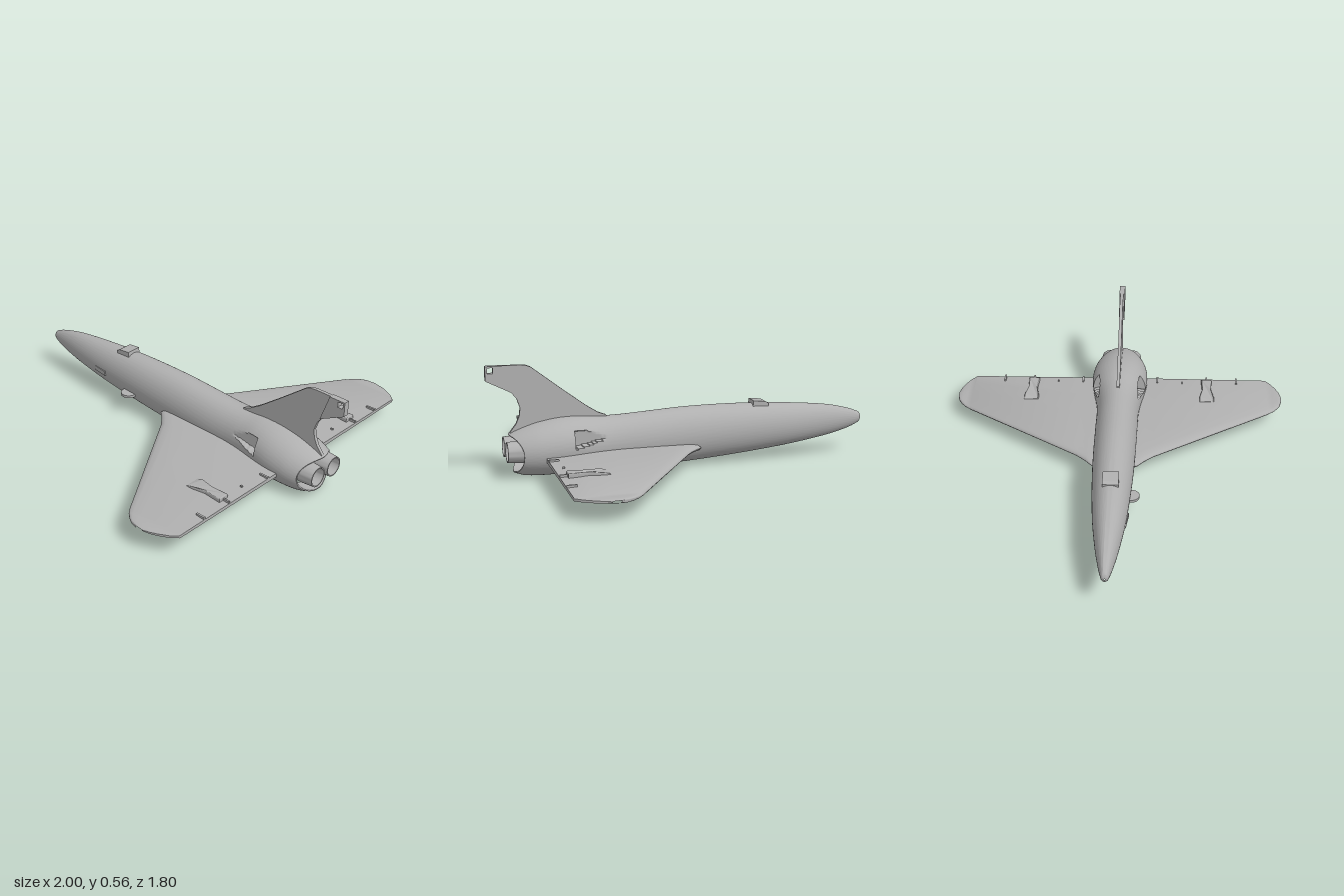
import * as THREE from 'three';
import { toCreasedNormals } from 'three/addons/utils/BufferGeometryUtils.js';

const grey = new THREE.MeshStandardMaterial({ color: 0xb0b0b0 });
grey.name = 'plain grey';

// Linear lookup in rows of [key, value, value...]
function lookup(rows, k) {
  let i = 1;
  while (i < rows.length - 1 && rows[i][0] < k) i++;
  const a = rows[i - 1], b = rows[i];
  const t = THREE.MathUtils.clamp((k - a[0]) / (b[0] - a[0]), 0, 1);
  return a.slice(1).map((v, n) => v + (b[n + 1] - v) * t);
}

// Closed rings of [x, y, z] joined into a skin, both ends capped
function loft(rings, crease = 0.6) {
  const n = rings[0].length, pos = rings.flat(2), idx = [];
  for (let i = 0; i < rings.length - 1; i++) for (let j = 0; j < n; j++) {
    const a = i * n + j, c = i * n + (j + 1) % n, b = a + n, d = c + n;
    idx.push(a, b, c, b, d, c);
  }
  [0, rings.length - 1].forEach((r, end) => {
    const mid = [0, 1, 2].map(k => rings[r].reduce((s, p) => s + p[k], 0) / n);
    const m = pos.length / 3;
    pos.push(...mid);
    for (let j = 0; j < n; j++) {
      const a = r * n + j, b = r * n + (j + 1) % n;
      end ? idx.push(m, a, b) : idx.push(m, b, a);
    }
  });
  const g = new THREE.BufferGeometry();
  g.setAttribute('position', new THREE.Float32BufferAttribute(pos, 3));
  g.setIndex(idx);
  return toCreasedNormals(g, crease);
}

// x, top, bottom, half width of the fuselage
const BODY = [
  [-1, 0.19, 0.184, 0.003], [-0.992, 0.21, 0.165, 0.016], [-0.97, 0.222, 0.15, 0.023],
  [-0.92, 0.24, 0.13, 0.034], [-0.8, 0.266, 0.1, 0.055], [-0.6, 0.286, 0.068, 0.08],
  [-0.4, 0.298, 0.045, 0.095], [-0.2, 0.302, 0.027, 0.105], [0, 0.299, 0.013, 0.11],
  [0.2, 0.287, 0.006, 0.112], [0.35, 0.279, 0.003, 0.113], [0.45, 0.28, 0.002, 0.122],
  [0.55, 0.288, 0.001, 0.14], [0.65, 0.285, 0, 0.153], [0.75, 0.268, 0, 0.149],
  [0.82, 0.247, 0.005, 0.134], [0.87, 0.228, 0.02, 0.115], [0.9, 0.213, 0.036, 0.1],
];
// Smooth the body stations with a spline per column
const smoothBody = [];
for (let i = 0; i < BODY.length - 1; i++) for (let s = 0; s < 6; s++) {
  const q = [BODY[Math.max(i - 1, 0)], BODY[i], BODY[i + 1], BODY[Math.min(i + 2, BODY.length - 1)]];
  const t = s / 6, dx = q[2][0] - q[1][0];
  smoothBody.push(q[1].map((v, c) => {
    if (c === 0) return v + dx * t;
    const m1 = (q[2][c] - q[0][c]) / (q[2][0] - q[0][0]) * dx;
    const m2 = (q[3][c] - q[1][c]) / (q[3][0] - q[1][0]) * dx;
    const t2 = t * t, t3 = t2 * t;
    return (2 * t3 - 3 * t2 + 1) * v + (t3 - 2 * t2 + t) * m1 + (3 * t2 - 2 * t3) * q[2][c] + (t3 - t2) * m2;
  }));
}
smoothBody.push(BODY[BODY.length - 1]);

function fuselageGeometry() {
  const N = 128, rings = [], xs = [-1, -0.997, -0.992, -0.982, -0.97, -0.95, -0.92, -0.88];
  for (let x = -0.84; x < 0.35; x += 0.04) xs.push(x);
  for (let x = 0.36; x < 0.575; x += 0.01) xs.push(x);
  xs.push(0.58, 0.583, 0.6, 0.63, 0.66, 0.69, 0.72, 0.75);
  const ring = (xAt, scale = 1) => rings.push(Array.from({ length: N }, (_, j) => {
    const a = j / N * Math.PI * 2, s = Math.sin(a), x = xAt(s);
    const [top, bot, w] = lookup(smoothBody, x), mid = (top + bot) / 2;
    const y = mid + (top - bot) / 2 * s * scale;
    let z = w * Math.cos(a) * scale;
    // Side inlets: a flat ramp sunk into the bulging flank
    const t = (x - 0.37) / 0.21;
    if (t > 0 && t < 1.001 && y > 0.2 - 0.05 * t && y < 0.213 + 0.022 * t)
      z = Math.sign(z) * Math.min(Math.abs(z), 0.112 - 0.014 * t);
    return [x, y, z];
  }));
  xs.forEach(x => ring(() => x));
  // Scalloped tail edge and the hollow behind the nozzles
  const edge = s => 0.835 + (s > 0 ? 0.06 : 0.038) * s * s;
  for (let k = 1; k <= 6; k++) ring(s => 0.75 + (edge(s) - 0.75) * k / 6);
  ring(edge, 0.95);
  ring(s => edge(s) - 0.03, 0.85);
  ring(() => 0.79, 0.75);
  return loft(rings);
}

// |z|, leading edge x, trailing edge x, thickness
const WING = [
  [0, -0.07, 0.73, 0.044], [0.115, -0.07, 0.73, 0.044], [0.15, -0.03, 0.73, 0.042],
  [0.2, 0.015, 0.73, 0.04], [0.818, 0.415, 0.73, 0.03], [0.822, 0.418, 0.728, 0.024],
  [0.85, 0.44, 0.695, 0.023], [0.875, 0.47, 0.65, 0.022], [0.89, 0.497, 0.615, 0.019],
  [0.9, 0.535, 0.575, 0.01],
];
const wingY = z => 0.106 + 0.011 * z;
function wingGeometry() {
  // Half section from nose to tail: chord fraction, half thickness
  const half = [[0, 0], [0.004, 0.22], [0.015, 0.5], [0.04, 0.75], [0.1, 0.93],
    [0.25, 1], [0.5, 1], [0.75, 0.85], [1, 0.5]];
  const section = [...half, ...half.slice(1).reverse().map(([u, t]) => [u, -t])];
  const stations = [...WING.slice(1).reverse().map(r => -r[0]), ...WING.map(r => r[0])];
  return loft(stations.map(z => {
    const [le, te, th] = lookup(WING, Math.abs(z));
    return section.map(([u, t]) => [le + (te - le) * u, wingY(z) + t * th / 2, z]);
  }), 0.7);
}

// Flat outline in the x-y plane, given a thickness in z
function slab(points, depth, hole) {
  const shape = new THREE.Shape(points.map(p => new THREE.Vector2(...p)));
  if (hole) shape.holes.push(new THREE.Path(hole.map(p => new THREE.Vector2(...p))));
  return new THREE.ExtrudeGeometry(shape, { depth, bevelEnabled: false }).translate(0, 0, -depth / 2);
}

export function createModel() {
  const model = new THREE.Group();
  model.name = 'deltaJet';
  const add = (name, geometry, x = 0, y = 0, z = 0) => {
    const m = new THREE.Mesh(geometry, grey);
    m.name = name;
    m.position.set(x, y, z);
    model.add(m);
    return m;
  };

  add('fuselage', fuselageGeometry());
  add('deltaWing', wingGeometry());

  // Tail fin and its thicker rear tip, pierced by a square hole
  add('tailFin', slab([[0.38, 0.25], [0.4, 0.285], [0.44, 0.3], [0.5, 0.338], [0.62, 0.428], [0.745, 0.525],
    [0.775, 0.548], [0.8, 0.558], [0.83, 0.561], [0.93, 0.561], [0.875, 0.425], [0.848, 0.39], [0.833, 0.345],
    [0.838, 0.305], [0.855, 0.265], [0.888, 0.222], [0.84, 0.2]], 0.017));
  add('finTip', slab([[0.915, 0.561], [1, 0.561], [1, 0.488], [0.865, 0.42]], 0.03,
    [[0.962, 0.525], [0.99, 0.525], [0.99, 0.553], [0.962, 0.553]]));

  // Raised hatch on the spine
  add('spineHatch', slab([[-0.46, 0.28], [-0.46, 0.299], [-0.445, 0.309], [-0.378, 0.316], [-0.374, 0.28]], 0.08));

  // Twin nozzles: hollow tubes with a ringed inner wall and a centre cone
  const profile = [[0, 0.85], [0.012, 0.85], [0.026, 0.8], [0.034, 0.8], [0.038, 0.85], [0.043, 0.855],
    [0.045, 0.912], [0.051, 0.912], [0.056, 0.84], [0.056, 0.77]].map(p => new THREE.Vector2(...p));
  for (const side of [1, -1]) {
    const lathe = new THREE.LatheGeometry(profile.slice().reverse(), 40);
    const nozzle = toCreasedNormals(lathe, 0.5).rotateZ(-Math.PI / 2);
    const m = add('nozzle', nozzle, 0, 0.137, side * 0.061);
    m.material = grey;
  }

  // Wing-top fairings, actuator rods and hinge brackets
  const outline = [[0.5, -0.036], [0.53, -0.036], [0.6, -0.021], [0.69, -0.025], [0.69, 0.025],
    [0.6, 0.021], [0.53, 0.036], [0.5, 0.036]];
  for (const side of [1, -1]) {
    const z = side * 0.487, y = wingY(z);
    const fairing = new THREE.ExtrudeGeometry(new THREE.Shape(outline.map(p => new THREE.Vector2(...p))),
      { depth: 0.022, bevelThickness: 0.006, bevelSize: 0.004, bevelSegments: 3 }).rotateX(-Math.PI / 2);
    // Sink the fairing nose into the wing
    const p = fairing.attributes.position;
    for (let i = 0; i < p.count; i++)
      if (p.getY(i) > 0.015) p.setY(i, p.getY(i) - 0.012 * THREE.MathUtils.clamp((0.54 - p.getX(i)) / 0.04, 0, 1));
    fairing.computeVertexNormals();
    add('flapFairing', fairing, 0, y + 0.004, z);
    add('flapRod', new THREE.BoxGeometry(0.05, 0.012, 0.008), 0.705, y + 0.016, z);
    for (const hz of [0.21, 0.655])
      add('hingeBracket', new THREE.BoxGeometry(0.05, 0.014, 0.01), 0.706, wingY(side * hz) + 0.013, side * hz);
    add('hingePin', new THREE.BoxGeometry(0.012, 0.008, 0.008), 0.685, wingY(side * 0.35) + 0.016, side * 0.35);
  }

  // Fittings on one flank: a flat disc and a small access plate
  add('flankDisc', new THREE.CylinderGeometry(0.042, 0.042, 0.014, 32), -0.32, 0.116, 0.098);
  const plate = add('accessPlate', new THREE.BoxGeometry(0.088, 0.026, 0.008), -0.555, 0.157, 0.083);
  plate.rotation.y = -0.14;

  return model;
}
